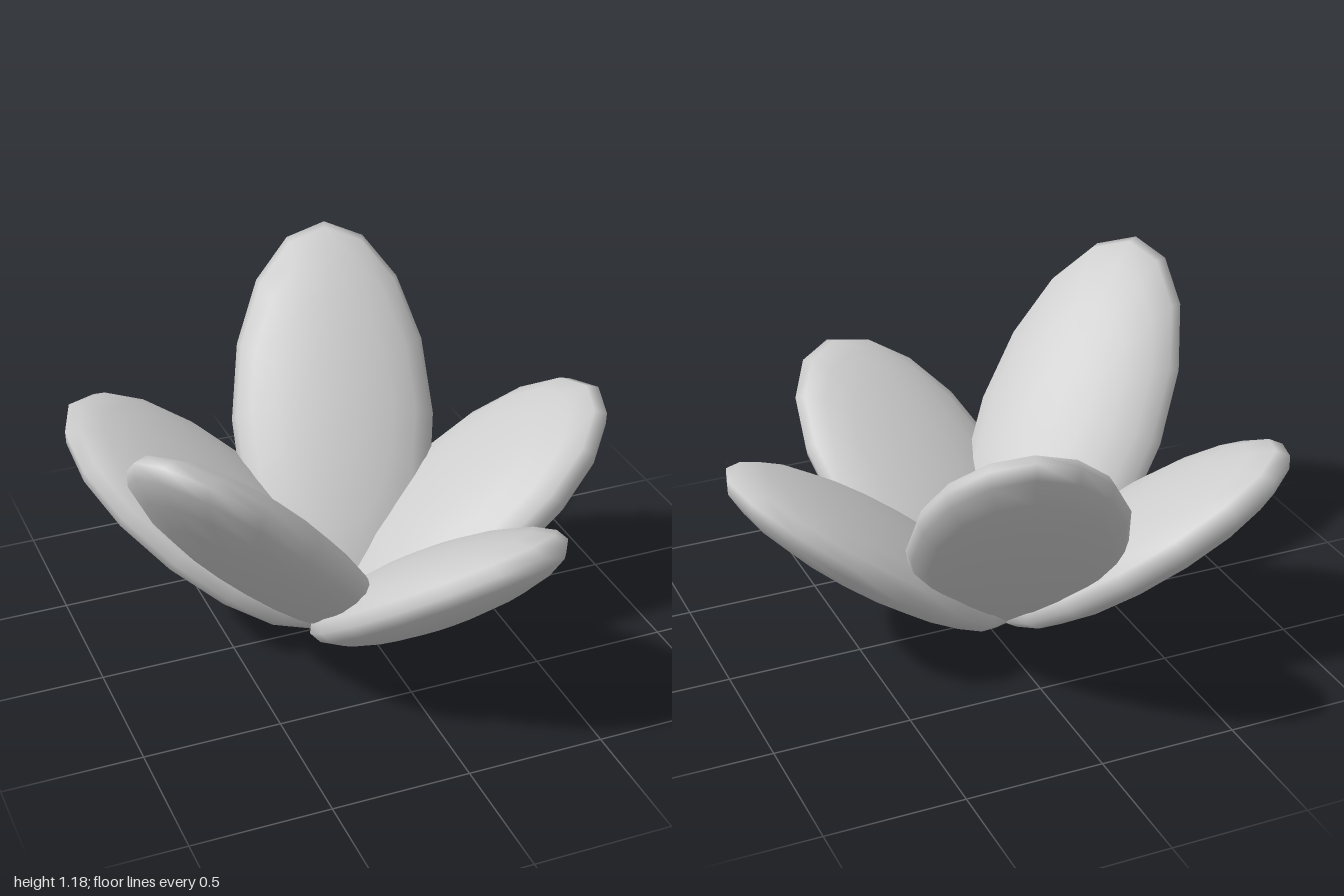
import * as THREE from 'three';

// Five plump ellipsoid petals around a tiny base
export function createModel() {
  const group = new THREE.Group();
  group.name = 'flower';
  const petalGrey = new THREE.MeshStandardMaterial({ color: 0xcccccc });
  petalGrey.name = 'petalGrey';

  const centreX = -0.07;
  const reach = 0.515; // horizontal distance from axis to petal middle
  const petalShape = new THREE.SphereGeometry(1, 16, 10);
  const low = { length: 0.64, tilt: 36.2, height: 0.42 };
  const tall = { length: 0.778, tilt: 48.5, height: 0.602 };

  // Petals in order: right, back, left back, left front, front
  [low, tall, low, tall, low].forEach((kind, i) => {
    const turn = (i * Math.PI * 2) / 5;
    const petal = new THREE.Mesh(petalShape, petalGrey);
    petal.name = `petal${i + 1}`;
    petal.scale.set(kind.length, 0.138, 0.385);
    petal.rotation.set(0, turn, THREE.MathUtils.degToRad(kind.tilt), 'YXZ');
    petal.position.set(
      centreX + reach * Math.cos(turn),
      kind.height,
      -reach * Math.sin(turn)
    );
    group.add(petal);
  });

  // Small base where the petals meet
  const base = new THREE.Mesh(new THREE.SphereGeometry(1, 16, 8), petalGrey);
  base.name = 'base';
  base.scale.set(0.07, 0.025, 0.07);
  base.position.set(centreX, 0.025, 0);
  group.add(base);

  return group;
}
